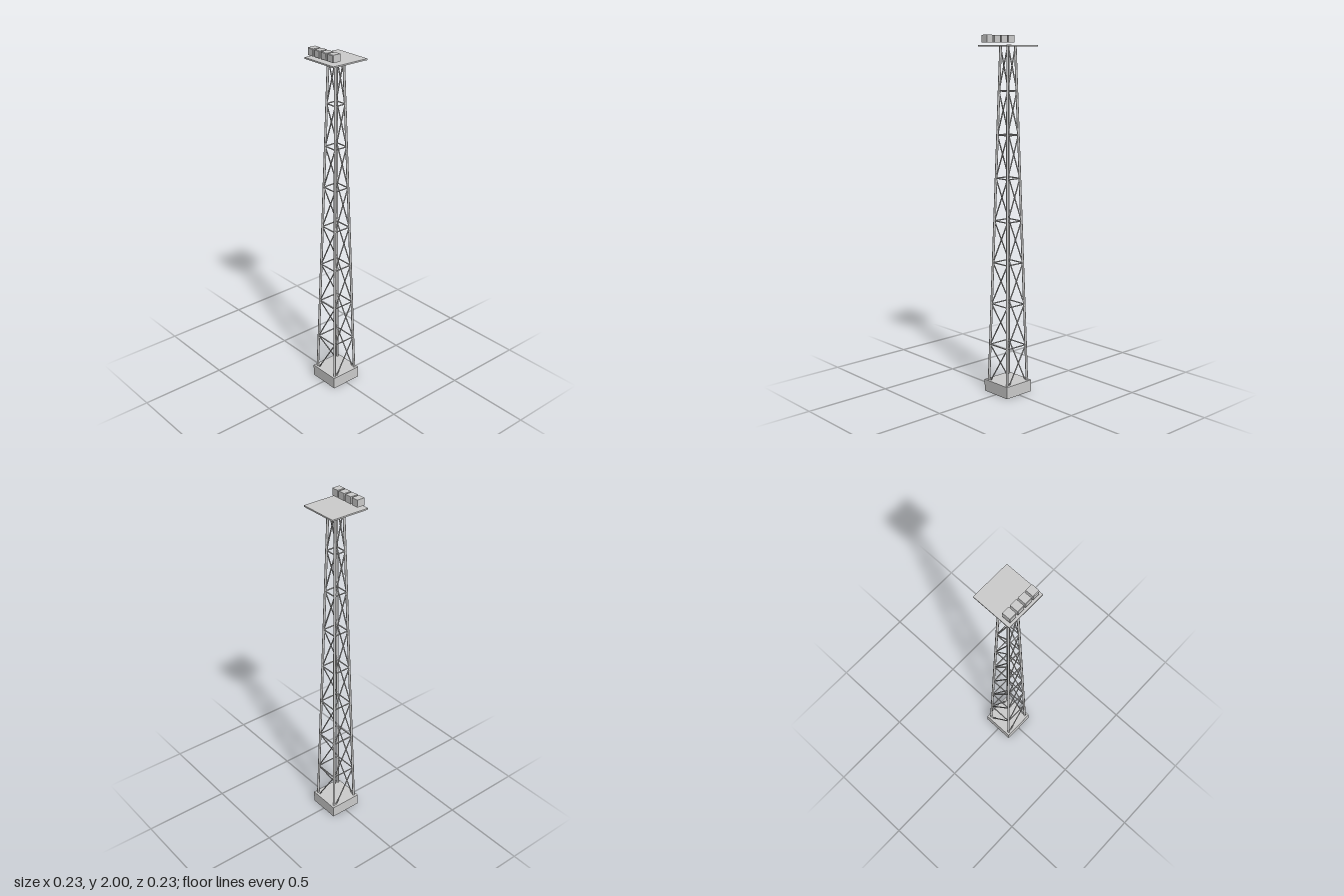
import * as THREE from 'three';

const material = new THREE.MeshStandardMaterial({ color: 0xcccccc });
const flatMaterial = new THREE.MeshStandardMaterial({ color: 0xcccccc, flatShading: true });
const shellMaterial = new THREE.MeshStandardMaterial({ color: 0xcccccc, side: THREE.DoubleSide });

const FOOT = 0.039, HEAD = 1.94, BAYS = 8;

// Round bar between two points
function bar(name, a, b, radius) {
  const dir = b.clone().sub(a);
  const mesh = new THREE.Mesh(new THREE.CylinderGeometry(radius, radius, dir.length(), 8), material);
  mesh.name = name;
  mesh.position.copy(a).add(b).multiplyScalar(0.5);
  mesh.quaternion.setFromUnitVectors(new THREE.Vector3(0, 1, 0), dir.normalize());
  return mesh;
}

function box(name, w, h, d, x, y, z) {
  const mesh = new THREE.Mesh(new THREE.BoxGeometry(w, h, d), material);
  mesh.name = name;
  mesh.position.set(x, y, z);
  return mesh;
}

// Centre of leg number i at bay level (0 = foot, BAYS = head)
const signs = [[1, 1], [1, -1], [-1, -1], [-1, 1]];
function corner(i, level) {
  const t = level / BAYS;
  const half = THREE.MathUtils.lerp(0.077, 0.028, t);
  const [sx, sz] = signs[i % 4];
  return new THREE.Vector3(sx * half, THREE.MathUtils.lerp(FOOT, HEAD, t), sz * half);
}

// Lamp: a box with a shallow bevelled front
function floodlight() {
  const lamp = new THREE.Group();
  lamp.name = 'floodlight';
  lamp.add(box('lampHousing', 0.042, 0.04, 0.046, 0, 0, 0));
  const lensGeo = new THREE.CylinderGeometry(0.037 / Math.SQRT2, 0.042 / Math.SQRT2, 0.003, 4);
  lensGeo.rotateY(Math.PI / 4).rotateX(Math.PI / 2).scale(1, 0.04 / 0.042, 1);
  const lens = new THREE.Mesh(lensGeo, flatMaterial);
  lens.name = 'lampLens';
  lens.position.z = 0.0245;
  lamp.add(lens);
  return lamp;
}

export function createModel() {
  const model = new THREE.Group();
  model.name = 'floodlightMast';

  // Foundation block, hollow and open underneath
  const baseGeo = new THREE.BoxGeometry(0.188, 0.068, 0.188);
  const index = Array.from(baseGeo.index.array);
  index.splice(18, 6); // drop the bottom face
  baseGeo.setIndex(index);
  baseGeo.clearGroups();
  const base = new THREE.Mesh(baseGeo, shellMaterial);
  base.name = 'base';
  base.position.y = 0.034;
  model.add(base);

  // Tapering lattice: legs, rings and one rising diagonal per bay on each side
  const tower = new THREE.Group();
  tower.name = 'latticeTower';
  for (let side = 0; side < 4; side++) {
    tower.add(bar('leg', corner(side, 0), corner(side, BAYS), 0.007));
    for (let bay = 0; bay < BAYS; bay++) {
      tower.add(bar('diagonalBrace', corner(side, bay), corner(side + 1, bay + 1), 0.0035));
      if (bay > 0) tower.add(bar('ringBar', corner(side, bay), corner(side + 1, bay), 0.0035));
    }
  }
  model.add(tower);

  // Platform at the head
  model.add(box('platform', 0.228, 0.008, 0.228, 0, 1.943, 0));

  // Row of floodlights along the front edge
  for (let i = 0; i < 4; i++) {
    const lamp = floodlight();
    lamp.position.set((i - 1.5) * 0.0515, 1.98, 0.079);
    model.add(lamp);
  }
  return model;
}
